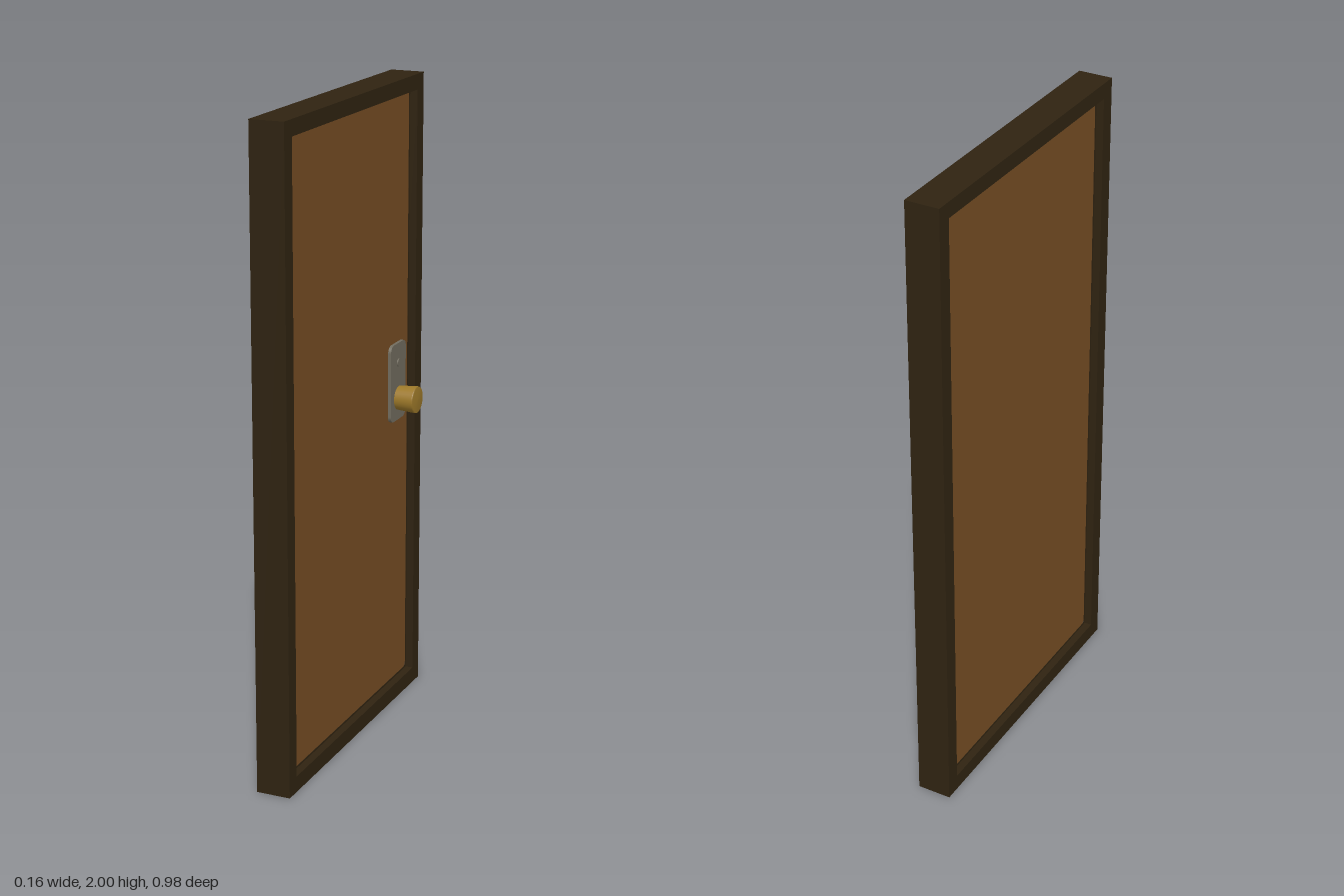
import * as THREE from 'three';

const material = (name, color) => {
  const m = new THREE.MeshStandardMaterial({ color });
  m.name = name;
  return m;
};

// Rounded rectangle in the z-y plane, traced as (u = -z, v = y)
function roundedRect(Type, u0, v0, u1, v1, r) {
  const p = new Type();
  p.moveTo(u0 + r, v0);
  p.lineTo(u1 - r, v0);
  p.absarc(u1 - r, v0 + r, r, -Math.PI / 2, 0);
  p.lineTo(u1, v1 - r);
  p.absarc(u1 - r, v1 - r, r, 0, Math.PI / 2);
  p.lineTo(u0 + r, v1);
  p.absarc(u0 + r, v1 - r, r, Math.PI / 2, Math.PI);
  p.lineTo(u0, v0 + r);
  p.absarc(u0 + r, v0 + r, r, Math.PI, Math.PI * 1.5);
  return p;
}

export function createModel() {
  const group = new THREE.Group();
  group.name = 'door';
  const darkWood = material('dark wood', 0x2f2311);
  const wood = material('brown wood', 0x764d24);
  const steel = material('dull steel', 0x716c5e);
  const brass = material('brass', 0x9c7829);

  const add = (name, geometry, mat) => {
    const mesh = new THREE.Mesh(geometry, mat);
    mesh.name = name;
    group.add(mesh);
    return mesh;
  };

  // Extrudes a shape along +x from x0 to x1
  const slab = (shape, x0, x1) =>
    new THREE.ExtrudeGeometry(shape, { depth: x1 - x0, bevelEnabled: false, curveSegments: 6 })
      .rotateY(Math.PI / 2)
      .translate(x0, 0, 0);

  // Frame with a rectangular opening
  const frame = new THREE.Shape([
    new THREE.Vector2(-0.49, 0), new THREE.Vector2(0.49, 0),
    new THREE.Vector2(0.49, 2), new THREE.Vector2(-0.49, 2),
  ]);
  frame.holes.push(new THREE.Path([
    new THREE.Vector2(-0.442, 0.05), new THREE.Vector2(-0.442, 1.952),
    new THREE.Vector2(0.442, 1.952), new THREE.Vector2(0.442, 0.05),
  ]));
  add('frame', slab(frame, -0.08, 0.027), darkWood);

  // Thin rebate that closes the gap around the recessed door leaf
  const stop = roundedRect(THREE.Shape, -0.443, 0.049, 0.443, 1.953, 0.002);
  stop.holes.push(roundedRect(THREE.Path, -0.436, 0.056, 0.436, 1.946, 0.015));
  add('doorStop', slab(stop, -0.056, 0.003), darkWood);

  // Door leaf, recessed on both sides
  add('doorLeaf', slab(roundedRect(THREE.Shape, -0.439, 0.053, 0.439, 1.949, 0.012), -0.055, 0.002), wood);

  // Lock plate with a small key cylinder
  add('lockPlate', slab(roundedRect(THREE.Shape, 0.284, 0.93, 0.401, 1.178, 0.022), 0.002, 0.012), steel);
  add('keyCylinder', new THREE.CylinderGeometry(0.013, 0.013, 0.006, 20)
    .rotateZ(-Math.PI / 2).translate(0.013, 1.115, -0.343), steel);

  // Door knob, slightly flared, with a softened outer rim
  const knob = [[0.038, 0.011], [0.0425, 0.072]];
  const cap = [[0.0425, 0.072], [0.041, 0.076], [0.0, 0.0775]];
  const lathe = (pts) =>
    new THREE.LatheGeometry(pts.map(([r, h]) => new THREE.Vector2(r, h)), 32)
      .rotateZ(-Math.PI / 2)
      .translate(0, 1.0, -0.347);
  add('knobBody', lathe(knob), brass);
  add('knobCap', lathe(cap), brass);

  return group;
}
